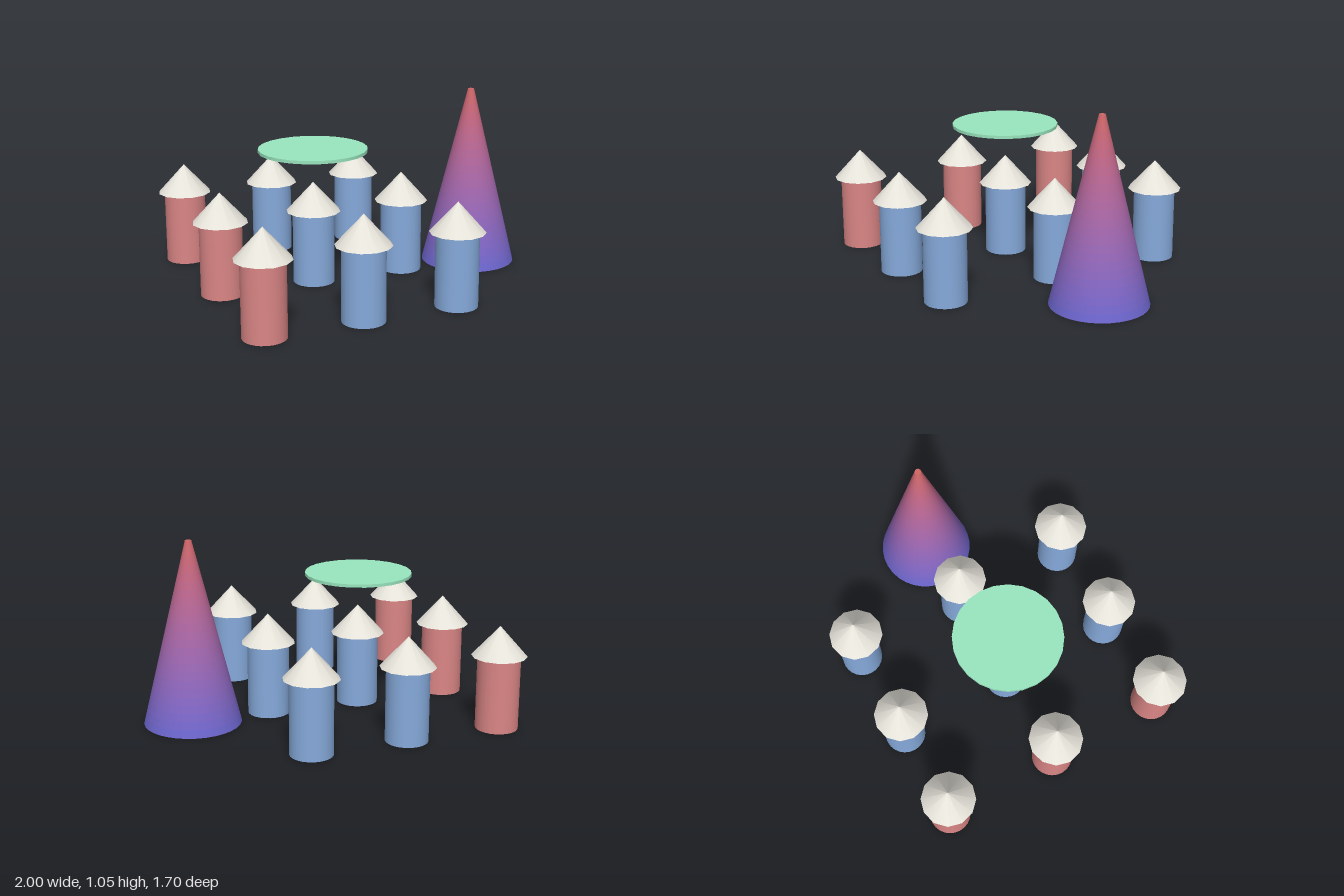
import * as THREE from 'three';

const mat = (color) => new THREE.MeshStandardMaterial({ color });

function part(name, geometry, material, x, y, z) {
  const mesh = new THREE.Mesh(geometry, material);
  mesh.name = name;
  mesh.position.set(x, y, z);
  return mesh;
}

export function createModel() {
  const model = new THREE.Group();
  model.name = 'towerField';

  const red = mat(0xdb8686);
  const blue = mat(0x86aadb);
  const cream = mat(0xe6e3da);
  const green = mat(0x99e6bf);

  // 3 x 3 grid of round towers with pointed roofs; the left column is red
  const bodyGeo = new THREE.CylinderGeometry(0.12, 0.12, 0.42, 24);
  const roofGeo = new THREE.ConeGeometry(0.155, 0.17, 12);
  [-0.845, -0.29, 0.265].forEach((x, column) => {
    for (const z of [-0.695, 0, 0.695]) {
      const tower = new THREE.Group();
      tower.name = 'tower';
      tower.position.set(x, 0, z);
      tower.add(part('towerBody', bodyGeo, column === 0 ? red : blue, 0, 0.21, 0));
      tower.add(part('towerRoof', roofGeo, cream, 0, 0.505, 0));
      model.add(tower);
    }
  });

  // Thin disc floating above the middle tower
  model.add(part('floatingDisc', new THREE.CylinderGeometry(0.31, 0.31, 0.018, 24), green, -0.29, 0.778, 0));

  // Tall spire, blended from violet blue to red in stacked bands
  const spire = new THREE.Group();
  spire.name = 'spire';
  spire.position.set(0.72, 0, 0);
  const height = 1.05, bottom = 0.277, top = 0.018, bands = 24, sides = 32;
  const low = new THREE.Color(0x6a66d0), high = new THREE.Color(0xd06666);
  const radius = (t) => THREE.MathUtils.lerp(bottom, top, t);
  for (let i = 0; i < bands; i++) {
    const t0 = i / bands, t1 = (i + 1) / bands;
    const geo = new THREE.CylinderGeometry(radius(t1), radius(t0), height / bands, sides, 1, true);
    const color = low.clone().lerp(high, (t0 + t1) / 2);
    spire.add(part('spireBand', geo, mat(color), 0, height * (t0 + t1) / 2, 0));
  }

  // End caps of the spire
  const base = part('spireBase', new THREE.CircleGeometry(bottom, sides), mat(low), 0, 0, 0);
  base.rotation.x = Math.PI / 2;
  const tip = part('spireTip', new THREE.CircleGeometry(top, sides), mat(high), 0, height, 0);
  tip.rotation.x = -Math.PI / 2;
  spire.add(base, tip);
  model.add(spire);

  return model;
}
